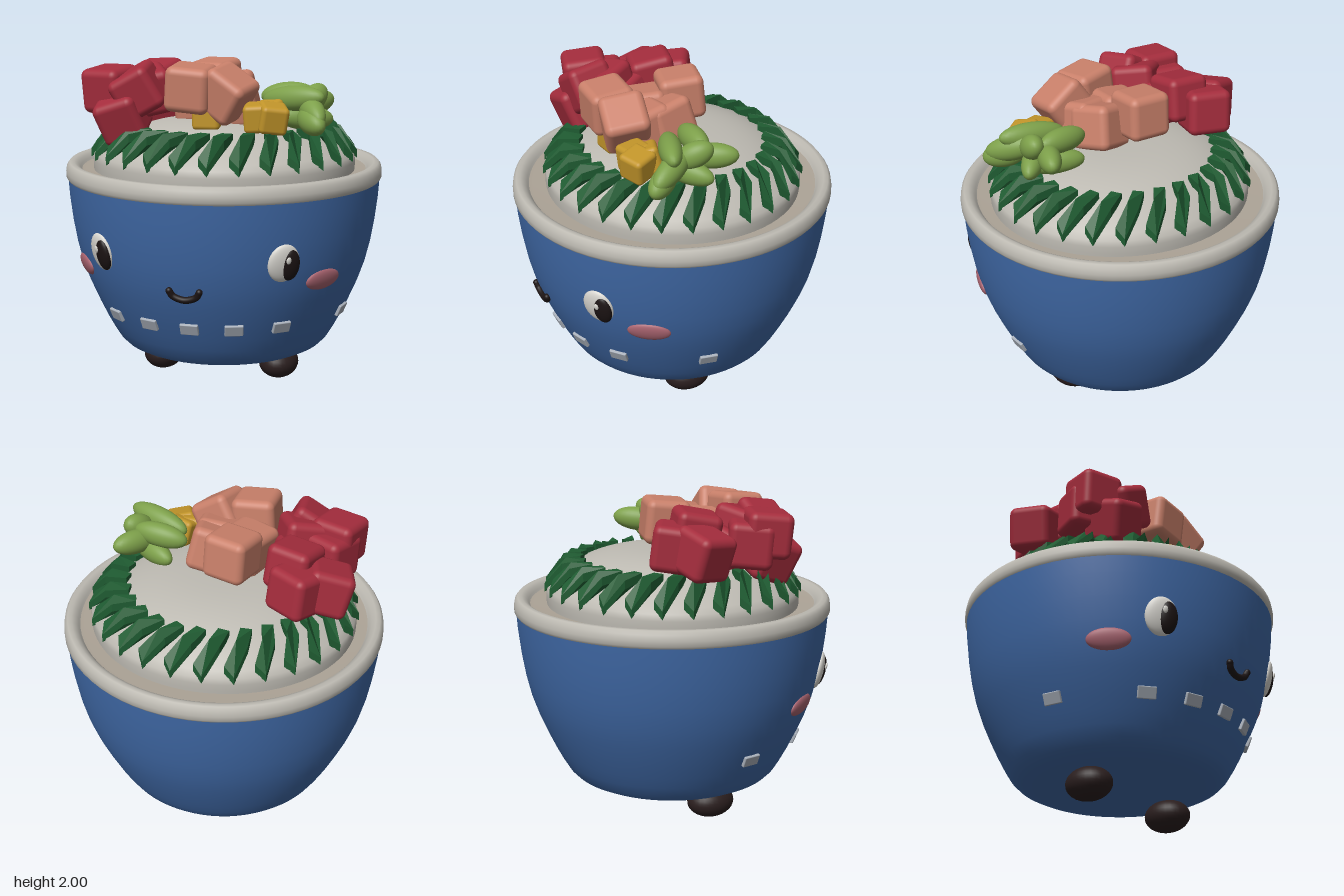
import * as THREE from 'three';
import { RoundedBoxGeometry } from 'three/addons/geometries/RoundedBoxGeometry.js';

const paint = (color) => new THREE.MeshStandardMaterial({ color, roughness: 0.7 });
const BLUE = paint(0x3f68a5), CREAM = paint(0xbdbab2), TAN = paint(0xada497), DARK = paint(0x2a1e1e),
  BLACK = paint(0x1c1414), WHITE = paint(0xd8d6d0), PINK = paint(0xa8636f), DASH = paint(0xa9b0ba),
  LEAF = paint(0x1f5c32), RED = paint(0xa52d3d), SALMON = paint(0xc9806a), YELLOW = paint(0xc2952a), GREEN = paint(0x7da04a);
const RX = 0.81, RZ = 0.77; // half-widths of the rice dome

function add(parent, name, geometry, material) {
  const mesh = new THREE.Mesh(geometry, material);
  mesh.name = name;
  parent.add(mesh);
  return mesh;
}

function lathe(points) {
  return new THREE.LatheGeometry(points.map(([r, y]) => new THREE.Vector2(r, y)), 72);
}

function ellipsoid(parent, name, material, [x, y, z], [a, b, c]) {
  const mesh = add(parent, name, new THREE.SphereGeometry(1, 28, 18), material);
  mesh.position.set(x, y, z);
  mesh.scale.set(a, b, c);
  return mesh;
}

// Group on the bowl wall: local +z points outward, leaning with the slope
function wallSpot(parent, name, angle, radius, y, lean) {
  const spot = new THREE.Group();
  spot.name = name;
  spot.position.set(Math.sin(angle) * radius, y, Math.cos(angle) * radius);
  spot.rotation.set(lean, angle, 0, 'YXZ');
  parent.add(spot);
  return spot;
}

// Dome height over the normalised radius
const domeHeight = (r) => 1.655 - 0.235 * Math.pow(Math.min(r, 1), 3.3);

// Strip in normalised dome units: level inside, folded down steeply past the kink
function stripGeometry(angle) {
  const shape = new THREE.Shape([
    [0.724, -0.095], [0.892, -0.038], [1.018, 0.079], [0.962, 0.141], [0.848, 0.038], [0.696, -0.015],
  ].map(([u, v]) => new THREE.Vector2(u, v)));
  const geo = new THREE.ExtrudeGeometry(shape, { depth: 0.05, bevelEnabled: false });
  geo.rotateX(Math.PI / 2).rotateY(-angle);
  const p = geo.attributes.position;
  for (let i = 0; i < p.count; i++) {
    const x = p.getX(i), z = p.getZ(i);
    const top = 1.608 - 1.1 * Math.max(0, Math.hypot(x, z) - 0.87);
    p.setXYZ(i, x * RX, p.getY(i) + top, z * RZ);
  }
  geo.computeVertexNormals();
  return geo;
}

// Pile of rounded cubes: [x, y, z, rotX, rotY, rotZ]
function cubePile(parent, name, material, size, list) {
  const pile = new THREE.Group();
  pile.name = name + 'Pile';
  const geo = new RoundedBoxGeometry(size, size, size, 4, size * 0.17);
  for (const [x, y, z, a, b, c] of list) {
    const cube = add(pile, name, geo, material);
    cube.position.set(x, y, z);
    cube.rotation.set(a, b, c);
  }
  parent.add(pile);
}

export function createModel() {
  const model = new THREE.Group();
  model.name = 'riceBowl';

  // Bowl, rim with inner ledge, and rice
  add(model, 'bowl', lathe([[0, 0.178], [0.3, 0.182], [0.5, 0.195], [0.58, 0.21], [0.63, 0.235], [0.665, 0.27],
    [0.705, 0.335], [0.745, 0.41], [0.793, 0.51], [0.845, 0.63], [0.887, 0.75], [0.919, 0.88], [0.943, 1.02],
    [0.96, 1.16], [0.968, 1.27]]), BLUE);
  add(model, 'rim', lathe([[0.94, 1.255], [0.965, 1.26], [0.979, 1.28], [0.98, 1.31], [0.974, 1.345], [0.957, 1.367],
    [0.93, 1.368], [0.905, 1.355], [0.89, 1.335], [0.87, 1.31]]), CREAM);
  add(model, 'innerLedge', lathe([[0.89, 1.325], [0.86, 1.32], [0.7, 1.315]]), TAN);
  const dome = [[1, 1.28], [1.005, 1.34], [1.005, 1.38]];
  for (let i = 24; i >= 0; i--) dome.push([i / 24, domeHeight(i / 24)]);
  add(model, 'rice', lathe(dome), CREAM).scale.set(RX, 1, RZ);

  // Ring of seaweed strips
  const seaweed = new THREE.Group();
  seaweed.name = 'seaweedRing';
  model.add(seaweed);
  for (let i = 0; i < 28; i++) add(seaweed, 'seaweedStrip', stripGeometry((i + 0.1) / 28 * Math.PI * 2), LEAF);

  // Feet, eyes and cheeks; both pupils look the same way
  for (const s of [-1, 1]) {
    const side = s > 0 ? 'left' : 'right';
    ellipsoid(model, side + 'Foot', DARK, [s * 0.378, 0.103, 0.08], [0.123, 0.099, 0.15]);
    const eye = wallSpot(model, side + 'Eye', s * 0.635, 0.92, 0.91, 0.2);
    ellipsoid(eye, 'eyeWhite', WHITE, [0, 0, 0], [0.098, 0.117, 0.035]);
    ellipsoid(eye, 'pupil', BLACK, [0.034, -0.008, 0.014], [0.06, 0.096, 0.032]);
    ellipsoid(eye, 'eyeShine', WHITE, [0.012, 0.032, 0.042], [0.015, 0.022, 0.008]);
    const cheek = wallSpot(model, side + 'Cheek', s * 0.965, 0.885, 0.77, 0.28);
    ellipsoid(cheek, 'blush', PINK, [0, 0, 0], [0.13, 0.066, 0.028]);
  }

  // Smiling mouth with round ends
  const smile = [[-0.09, 0.745], [-0.07, 0.712], [0, 0.69], [0.07, 0.712], [0.09, 0.745]]
    .map(([x, y]) => new THREE.Vector3(x, y, 0.88 - x * x * 0.6 + (y - 0.69) * 0.3));
  add(model, 'mouth', new THREE.TubeGeometry(new THREE.CatmullRomCurve3(smile), 32, 0.02, 10), BLACK);
  for (const p of [smile[0], smile[4]]) ellipsoid(model, 'mouthCorner', BLACK, p.toArray(), [0.02, 0.02, 0.02]);

  // Row of small flat dashes round the front
  for (const deg of [-80, -40, -19, 0, 19, 40, 80]) {
    const spot = wallSpot(model, 'dashSpot', THREE.MathUtils.degToRad(deg), 0.788, 0.49, 0.4);
    add(spot, 'dash', new RoundedBoxGeometry(0.11, 0.073, 0.025, 2, 0.006), DASH);
  }

  // Cubed toppings
  cubePile(model, 'redCube', RED, 0.27, [
    [-0.51, 1.76, -0.23, 0.15, -0.5, 0.1], [-0.45, 1.82, -0.08, 0.2, -0.25, 0.1], [-0.66, 1.74, -0.13, 0.1, 0.3, 0.25],
    [-0.6, 1.76, 0.21, 0.1, -0.45, 0.05], [-0.42, 1.72, 0.1, 0.3, 0.5, 0.2], [-0.63, 1.82, 0.3, 0.1, -0.3, 0.05],
    [-0.43, 1.82, 0.36, 0.15, 0.1, 0.5], [-0.53, 1.67, 0.38, 0.3, 0.1, 0.3], [-0.42, 1.81, 0.24, 0.2, 0.5, 0.1],
  ]);
  cubePile(model, 'salmonCube', SALMON, 0.27, [
    [-0.08, 1.84, -0.09, 0.1, -0.25, 0.05], [0.09, 1.76, 0.08, 0.2, 0.15, 0.2], [-0.11, 1.76, 0.14, 0.1, -0.3, 0.15],
    [-0.1, 1.85, 0.38, 0.08, 0, -0.08], [0.11, 1.82, 0.36, 0.15, -0.25, -0.55], [0.09, 1.75, 0.22, 0.2, 0.1, 0.1],
  ]);
  cubePile(model, 'yellowCube', YELLOW, 0.165, [
    [0.31, 1.69, 0.39, 0.1, 0.15, 0.05], [0.4, 1.69, 0.41, 0.2, 0.4, -0.2], [0.36, 1.69, 0.34, 0.3, -0.3, 0.2],
    [0, 1.69, 0.38, 0, 0.1, 0],
  ]);

  // Green beans: [x, y, z, half length, yaw, tilt]
  const beans = new THREE.Group();
  beans.name = 'greenBeans';
  model.add(beans);
  for (const [x, y, z, len, yaw, tilt] of [
    [0.42, 1.79, 0.07, 0.17, -0.05, 0.1], [0.57, 1.74, 0.03, 0.16, 0.95, 0.1], [0.49, 1.79, 0.25, 0.21, -0.35, 0.1],
    [0.61, 1.73, 0.3, 0.17, -1.05, -0.3], [0.55, 1.67, 0.18, 0.18, 0.6, -0.1], [0.62, 1.67, 0.36, 0.13, -0.9, -0.2],
    [0.59, 1.78, 0.15, 0.12, 1.1, 0.5], [0.48, 1.67, 0.08, 0.18, -0.6, 0],
  ]) {
    const bean = ellipsoid(beans, 'bean', GREEN, [x, y, z], [len, 0.076, 0.068]);
    bean.rotation.set(0, yaw, tilt, 'YXZ');
  }
  return model;
}
